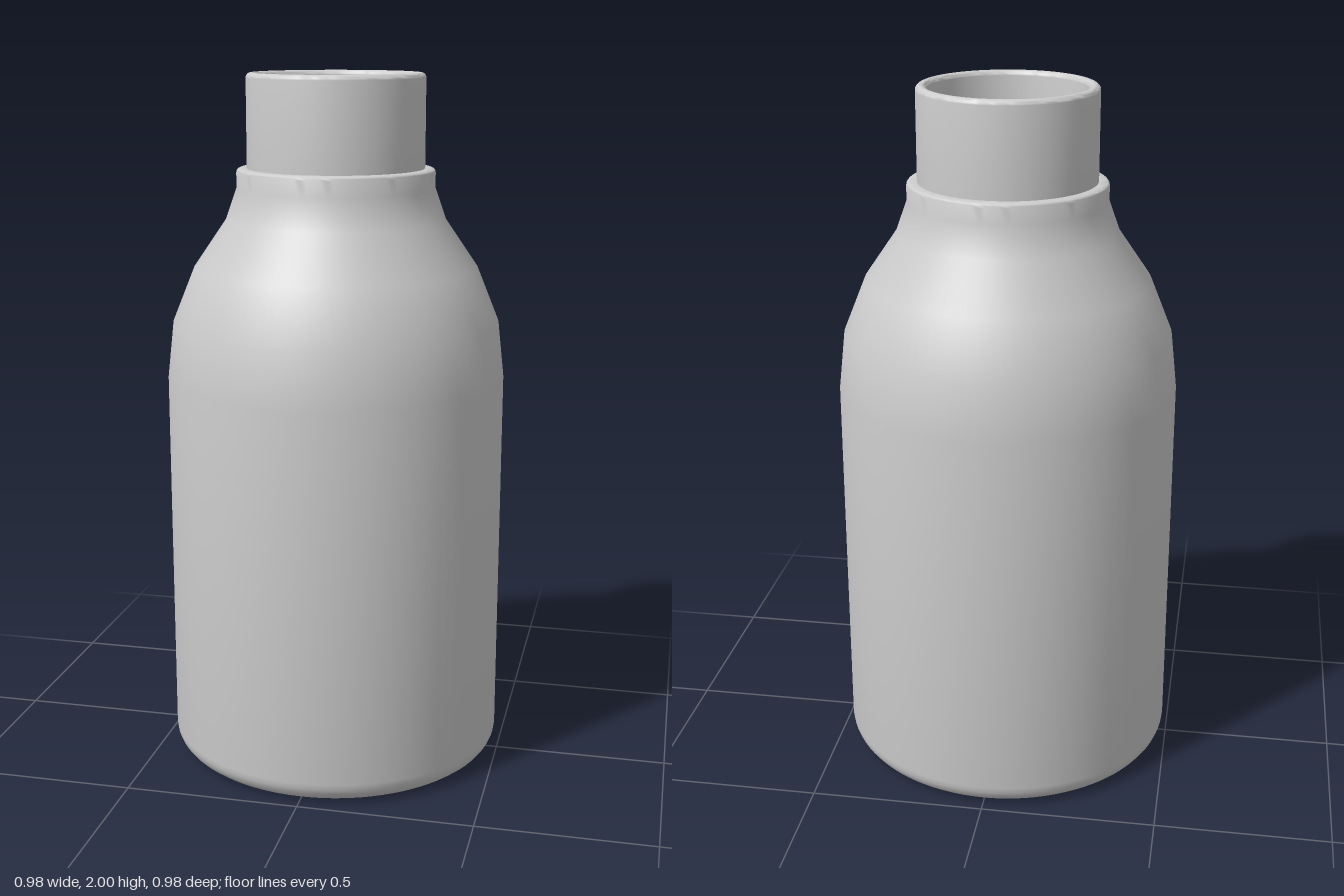
import * as THREE from 'three';
import { toCreasedNormals } from 'three/addons/utils/BufferGeometryUtils.js';

// Quarter-round corner as profile points, angles in units of 90 degrees
function arc(cx, cy, r, from, to, steps = 5) {
  return Array.from({ length: steps + 1 }, (_, i) => {
    const a = (from + (to - from) * i / steps) * Math.PI / 2;
    return [cx + r * Math.cos(a), cy + r * Math.sin(a)];
  });
}

export function createModel() {
  const bottle = new THREE.Group();
  bottle.name = 'bottle';
  const grey = new THREE.MeshStandardMaterial({ color: 0xcccccc });
  grey.name = 'light grey';

  const lathe = (name, points) => {
    const geometry = new THREE.LatheGeometry(points.map(([x, y]) => new THREE.Vector2(x, y)), 96);
    const mesh = new THREE.Mesh(toCreasedNormals(geometry, 0.65), grey);
    mesh.name = name;
    bottle.add(mesh);
  };

  // Base, straight wall, faceted shoulder and the collar's stepped top
  lathe('body', [
    [0, 0],
    ...arc(0.423, 0.065, 0.065, -1, 0, 6),
    [0.488, 1.14], [0.47, 1.3], [0.407, 1.456], [0.315, 1.59], [0.283, 1.68],
    ...arc(0.271, 1.724, 0.012, 0, 1, 4),
    [0.253, 1.736],
  ]);

  // Neck with a rounded lip
  lathe('neck', [
    [0.253, 1.736],
    ...arc(0.239, 1.986, 0.014, 0, 1),
    ...arc(0.236, 1.986, 0.014, 1, 2),
    [0.222, 1.72],
  ]);

  // Hollow inside, following the outer wall down to the floor
  lathe('interior', [
    [0.222, 1.72], [0.25, 1.67], [0.285, 1.58], [0.375, 1.445],
    [0.438, 1.29], [0.456, 1.14], [0.456, 0.09], [0.41, 0.035], [0, 0.035],
  ]);

  return bottle;
}
